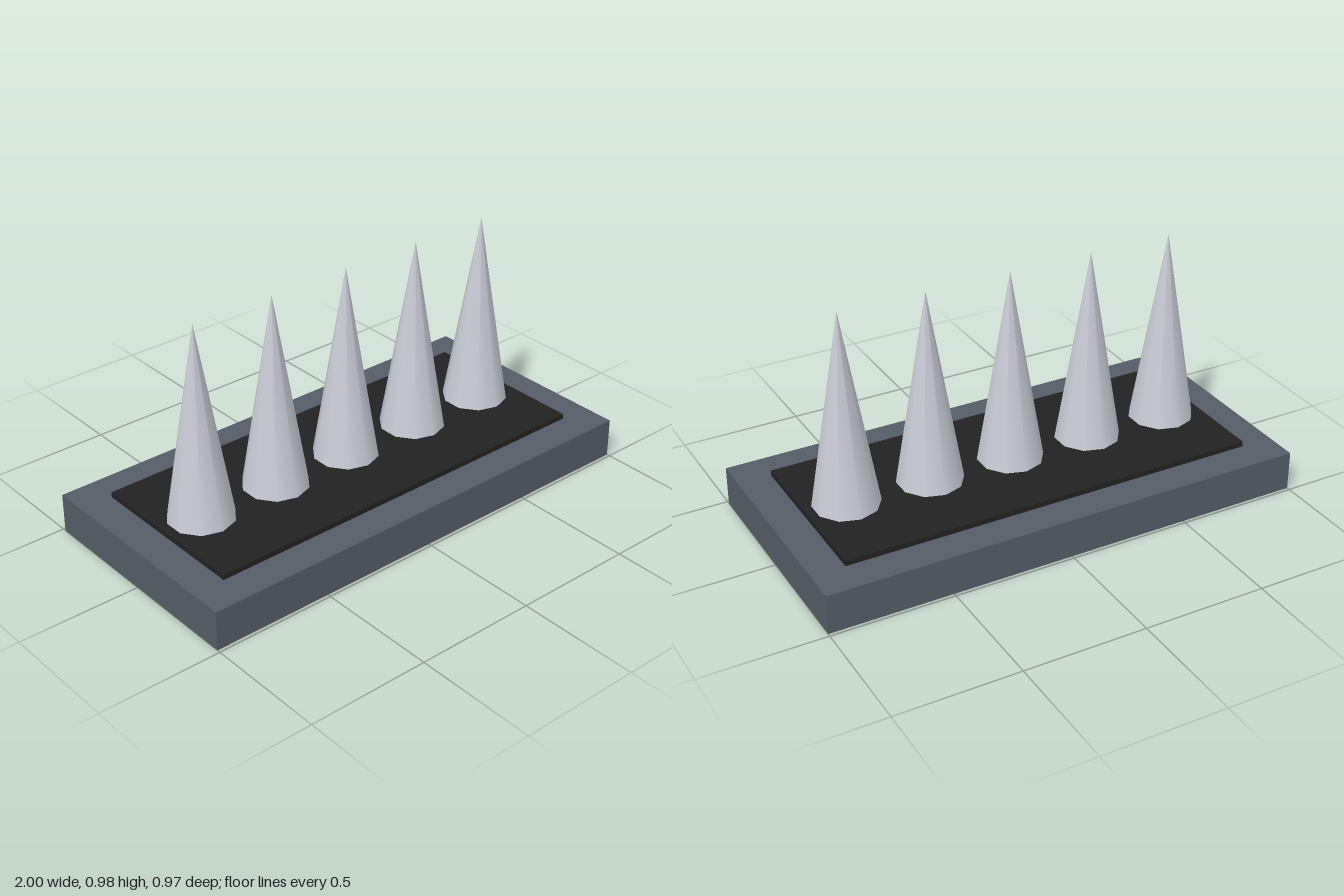
import * as THREE from 'three';

export function createModel() {
  const group = new THREE.Group();
  group.name = 'spikeTrap';

  const material = (name, color) => {
    const m = new THREE.MeshStandardMaterial({ color });
    m.name = name;
    return m;
  };
  const slate = material('slate grey', 0x555c66);
  const black = material('soft black', 0x222222);
  const steel = material('pale steel', 0xc9ccd4);

  // Adds a mesh whose underside rests at the given height
  const add = (name, geometry, mat, x, bottom, height) => {
    const mesh = new THREE.Mesh(geometry, mat);
    mesh.name = name;
    mesh.position.set(x, bottom + height / 2, 0);
    group.add(mesh);
  };

  const baseHeight = 0.162;
  const plateHeight = 0.022;
  const spikeHeight = 0.8;

  // Base slab and the thin plate on top of it
  add('base', new THREE.BoxGeometry(2, baseHeight, 0.973), slate, 0, 0, baseHeight);
  add('plate', new THREE.BoxGeometry(1.73, plateHeight, 0.703), black, 0, baseHeight, plateHeight);

  // Row of five ten-sided spikes with smooth sides
  const spike = new THREE.ConeGeometry(0.133, spikeHeight, 10);
  for (let i = -2; i <= 2; i++) {
    add(`spike${i + 3}`, spike, steel, i * 0.351, baseHeight + plateHeight, spikeHeight);
  }

  return group;
}
